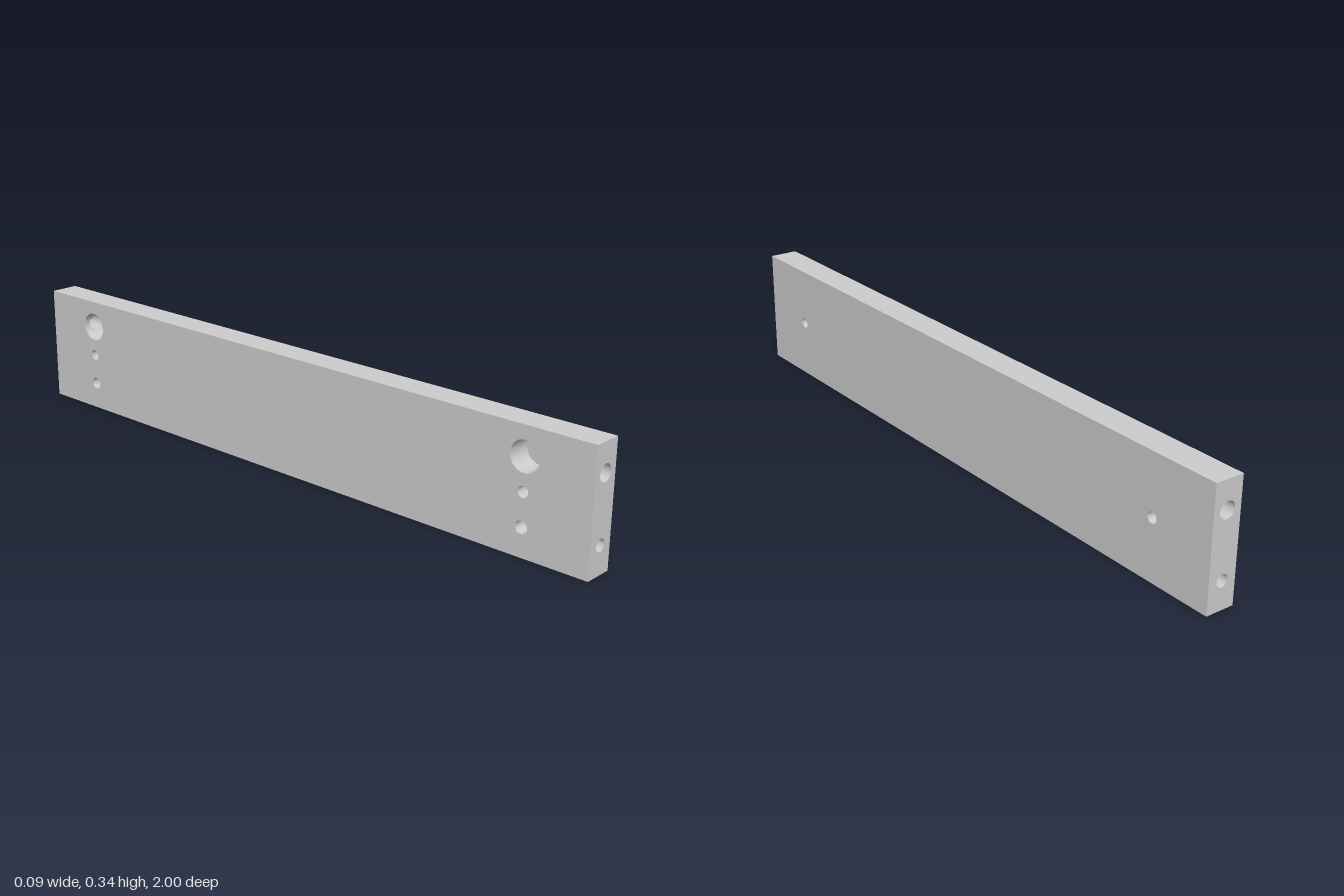
import * as THREE from 'three';

const W = 0.0425, H = 0.343, L = 1;            // half thickness, height, half length
const SEG = 96, HOLE_Z = 0.805;
const CAM = { y: 0.263, r: 0.0425, depth: 0.07 };
const BOLT = { y: 0.263, r: 0.0235 };
const SCREW = { y: 0.172, r: 0.0155 };
const DOWEL = { y: 0.08, r: 0.0175, endDepth: 0.13, sideDepth: 0.05 };

const material = new THREE.MeshStandardMaterial({ color: 0xcccccc });
const vec = (x, y, z) => new THREE.Vector3(x, y, z);

// Flat rectangular face with round holes, centred on x and standing on y = 0
function face(name, halfWidth, holes) {
  const shape = new THREE.Shape([
    [-halfWidth, 0], [halfWidth, 0], [halfWidth, H], [-halfWidth, H],
  ].map(([x, y]) => new THREE.Vector2(x, y)));
  for (const [x, y, r] of holes) {
    shape.holes.push(new THREE.Path().absarc(x, y, r, 0, Math.PI * 2, true));
  }
  const mesh = new THREE.Mesh(new THREE.ShapeGeometry(shape, SEG), material);
  mesh.name = name;
  return mesh;
}

// Inner wall of a hole drilled from origin along w; from(a) and to(a) are depths at angle a
function bore(name, origin, w, u, r, from, to) {
  const v = w.clone().cross(u);
  const pos = [], nor = [], index = [];
  for (let i = 0; i <= SEG; i++) {
    const a = (i / SEG) * Math.PI * 2;
    const out = u.clone().multiplyScalar(Math.cos(a)).addScaledVector(v, Math.sin(a));
    for (const depth of [from(a), to(a)]) {
      pos.push(...origin.clone().addScaledVector(out, r).addScaledVector(w, depth).toArray());
      nor.push(-out.x, -out.y, -out.z);
    }
    if (i < SEG) {
      const k = i * 2;
      index.push(k, k + 1, k + 2, k + 2, k + 1, k + 3);
    }
  }
  const geo = new THREE.BufferGeometry();
  geo.setAttribute('position', new THREE.Float32BufferAttribute(pos, 3));
  geo.setAttribute('normal', new THREE.Float32BufferAttribute(nor, 3));
  geo.setIndex(index);
  const mesh = new THREE.Mesh(geo, material);
  mesh.name = name;
  return mesh;
}

// Flat bottom of a blind hole
function floor(name, origin, w, r, depth) {
  const mesh = new THREE.Mesh(new THREE.CircleGeometry(r, SEG), material);
  mesh.quaternion.setFromUnitVectors(vec(0, 0, 1), w.clone().negate());
  mesh.position.copy(origin).addScaledVector(w, depth);
  mesh.name = name;
  return mesh;
}

export function createModel() {
  const group = new THREE.Group();
  group.name = 'drilledRail';
  const zero = () => 0;

  // Broad sides: plain one with screw holes, drilled one with all three holes per end
  const pair = ({ y, r }) => [[-HOLE_Z, y, r], [HOLE_Z, y, r]];
  const plain = face('plainSide', L, pair(SCREW));
  plain.rotation.y = Math.PI / 2;
  plain.position.x = W;
  const drilled = face('drilledSide', L, [CAM, SCREW, DOWEL].flatMap(pair));
  drilled.rotation.y = -Math.PI / 2;
  drilled.position.x = -W;
  group.add(plain, drilled);

  // Long narrow edges
  for (const [name, y, turn] of [['topEdge', H, -1], ['bottomEdge', 0, 1]]) {
    const edge = new THREE.Mesh(new THREE.PlaneGeometry(W * 2, L * 2), material);
    edge.rotation.x = turn * Math.PI / 2;
    edge.position.y = y;
    edge.name = name;
    group.add(edge);
  }

  // Each end: end face, end bores and the side holes near it
  for (const s of [1, -1]) {
    const end = new THREE.Group();
    end.name = s > 0 ? 'frontEnd' : 'backEnd';
    const cap = face('endFace', W, [BOLT, DOWEL].map(({ y, r }) => [0, y, r]));
    cap.position.z = s * L;
    if (s < 0) cap.rotation.y = Math.PI;
    end.add(cap);

    const inX = vec(1, 0, 0), inZ = vec(0, 0, -s), outZ = vec(0, 0, s);
    const sideAt = (y) => vec(-W, y, s * HOLE_Z);
    const endAt = (y) => vec(0, y, s * L);

    // Cam pocket, its wall split in two bands around the mouth of the bolt bore
    const mouth = (a) => Math.cos(a) > 0
      ? Math.sqrt(Math.max(0, BOLT.r ** 2 - (CAM.r * Math.sin(a)) ** 2)) : 0;
    const cam = sideAt(CAM.y);
    end.add(
      bore('camPocketOuterWall', cam, inX, outZ, CAM.r, zero, (a) => W - mouth(a)),
      bore('camPocketInnerWall', cam, inX, outZ, CAM.r, (a) => W + mouth(a), () => CAM.depth),
      floor('camPocketFloor', cam, inX, CAM.r, CAM.depth));

    // Bolt bore runs from the end face into the cam pocket
    end.add(bore('boltBore', endAt(BOLT.y), inZ, inX, BOLT.r, zero,
      (a) => L - HOLE_Z - Math.sqrt(CAM.r ** 2 - (BOLT.r * Math.sin(a)) ** 2)));

    // Screw hole through the full thickness
    end.add(bore('screwHole', sideAt(SCREW.y), inX, outZ, SCREW.r, zero, () => W * 2));

    // Blind dowel holes in the end and in the side
    for (const [name, at, w, u, depth] of [
      ['endDowelHole', endAt(DOWEL.y), inZ, inX, DOWEL.endDepth],
      ['sideDowelHole', sideAt(DOWEL.y), inX, outZ, DOWEL.sideDepth],
    ]) {
      end.add(bore(name, at, w, u, DOWEL.r, zero, () => depth),
        floor(name + 'Floor', at, w, DOWEL.r, depth));
    }
    group.add(end);
  }
  return group;
}
